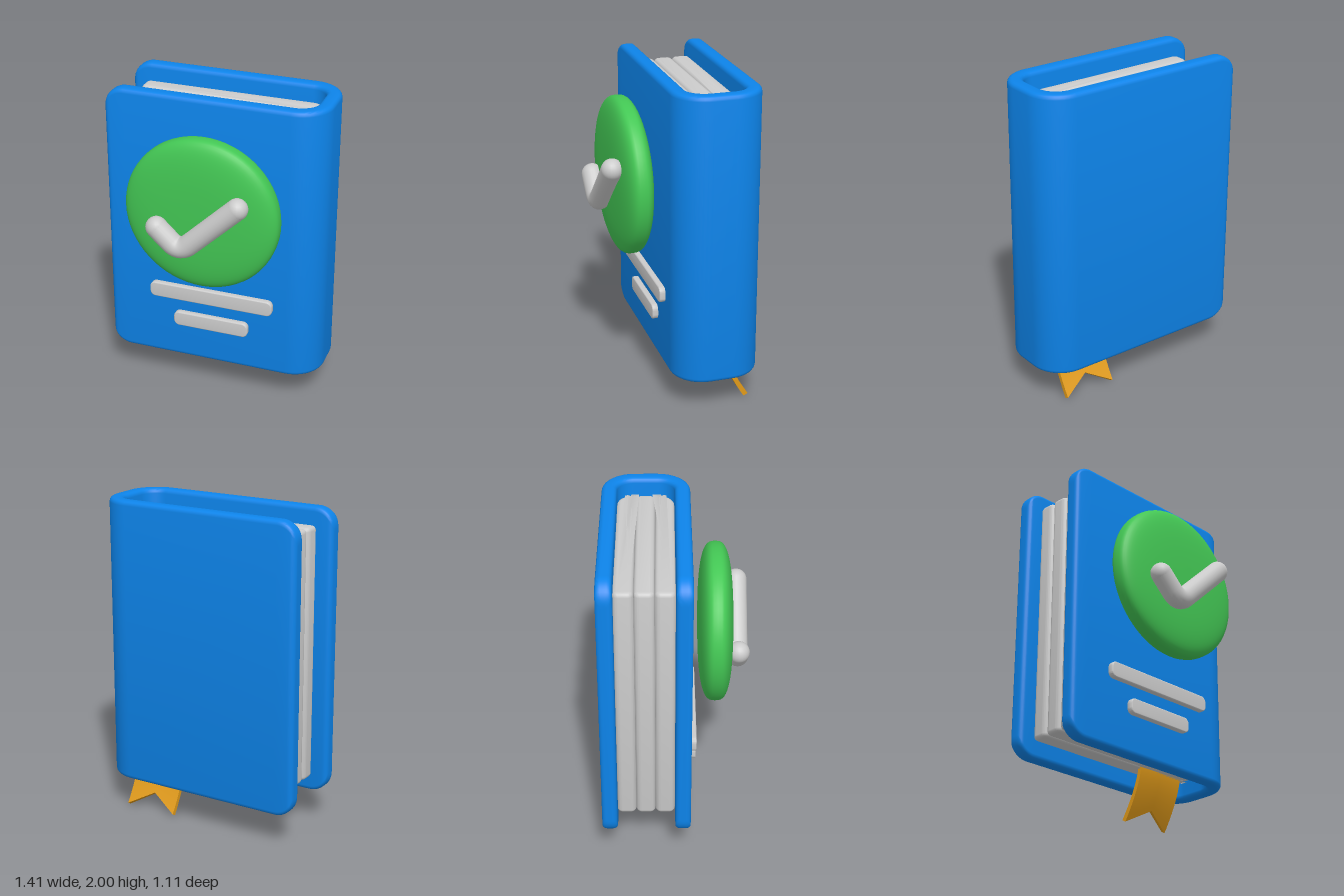
import * as THREE from 'three';
import { toCreasedNormals } from 'three/addons/utils/BufferGeometryUtils.js';

const material = (color) => new THREE.MeshStandardMaterial({ color });

// Rectangle with its own radius at each corner: [lower left, lower right, upper right, upper left]
function roundedRect(x0, y0, x1, y1, [a, b, c, d]) {
  const s = new THREE.Shape();
  s.moveTo(x0 + a, y0).lineTo(x1 - b, y0);
  s.absarc(x1 - b, y0 + b, b, -Math.PI / 2, 0);
  s.absarc(x1 - c, y1 - c, c, 0, Math.PI / 2);
  s.absarc(x0 + d, y1 - d, d, Math.PI / 2, Math.PI);
  s.absarc(x0 + a, y0 + a, a, Math.PI, Math.PI * 1.5);
  return s;
}

// Extrusion from z = 0 to z = depth with softened edges that stay inside the outline
function slab(shape, depth, bevel) {
  const g = new THREE.ExtrudeGeometry(shape, {
    depth: depth - 2 * bevel, bevelSize: bevel, bevelThickness: bevel,
    bevelOffset: -bevel, bevelSegments: 4, curveSegments: 8,
  });
  return toCreasedNormals(g.translate(0, 0, bevel), 0.7);
}

// Cover: a rounded upright section swept along a U, with rounded outer corners at both free ends
function coverGeometry() {
  const left = -0.695, front = 0.106, back = -0.341, spine = 0.626, bend = 0.153;
  const midY = 1.105, halfH = 0.895, thick = 0.094, corner = 0.12, edge = 0.028;
  const stations = [];
  const add = (x, z, angle, h = halfH, t = thick) => stations.push({ x, z, angle, h, t });

  const ends = [];
  for (let i = 0; i <= 12; i++) {
    const a = (i / 12) * Math.PI / 2;
    const s = corner * (1 - Math.cos(a));
    const k = Math.max(edge - s, 0);
    ends.push([left + s, halfH - corner + corner * Math.sin(a), thick - 2 * (edge - Math.sqrt(edge * edge - k * k))]);
  }
  ends.forEach(([x, h, t]) => add(x, front, Math.PI / 2, h, t));
  for (const [cz, from] of [[front - bend, Math.PI / 2], [back + bend, 0]]) {
    for (let i = 0; i <= 12; i++) {
      const a = from - (i / 12) * Math.PI / 2;
      add(spine - bend + bend * Math.cos(a), cz + bend * Math.sin(a), a);
    }
  }
  ends.reverse().forEach(([x, h, t]) => add(x, back, -Math.PI / 2, h, t));

  const pos = [], index = [], n = 20;
  for (const { x, z, angle, h, t } of stations) {
    const r = Math.min(edge, t / 2 - 0.001);
    for (let q = 0; q < 4; q++) {
      const sn = q === 0 || q === 3 ? 1 : -1, sy = q < 2 ? 1 : -1;
      for (let i = 0; i < 5; i++) {
        const a = (q + i / 4) * Math.PI / 2;
        const out = sn * (t / 2 - r) + r * Math.cos(a);
        pos.push(x + out * Math.cos(angle), midY + sy * (h - r) + r * Math.sin(a), z + out * Math.sin(angle));
      }
    }
  }
  const last = stations.length - 1;
  for (let i = 0; i < last; i++) {
    for (let j = 0; j < n; j++) {
      const a = i * n + j, b = i * n + (j + 1) % n;
      index.push(a, a + n, b + n, a, b + n, b);
    }
  }
  for (let j = 1; j < n - 1; j++) {
    index.push(0, j, j + 1, last * n, last * n + j + 1, last * n + j);
  }
  const g = new THREE.BufferGeometry();
  g.setAttribute('position', new THREE.Float32BufferAttribute(pos, 3));
  g.setIndex(index);
  return toCreasedNormals(g, 0.7);
}

// Ribbon: a thin strip with a notched end, curving backwards as it hangs
function ribbonGeometry() {
  const g = new THREE.BoxGeometry(0.345, 1, 0.026, 2, 10, 1);
  const p = g.attributes.position;
  for (let i = 0; i < p.count; i++) {
    const x = p.getX(i);
    const bottom = Math.abs(x) < 0.01 ? 0.1 : 0.008;
    const y = THREE.MathUtils.lerp(0.36, bottom, 0.5 - p.getY(i));
    const drop = (0.36 - y) / 0.36;
    const lean = 0.15 * Math.pow(drop, 1.6);
    p.setXYZ(i, x + 0.355, y + p.getZ(i) * -0.6 * drop, p.getZ(i) - 0.18 - lean);
  }
  return toCreasedNormals(g, 0.6);
}

export function createModel() {
  const model = new THREE.Group();
  const book = new THREE.Group();
  book.name = 'book';
  book.rotation.y = THREE.MathUtils.degToRad(-15.7);
  model.add(book);

  const blue = material(0x0d84ea), grey = material(0xcccccc);
  const green = material(0x43c754), orange = material(0xe09a1a);
  const add = (name, geometry, mat) => {
    const mesh = new THREE.Mesh(geometry, mat);
    mesh.name = name;
    book.add(mesh);
    return mesh;
  };

  add('cover', coverGeometry(), blue);

  // Page blocks, the outer two rounded to fit inside the spine
  const thick = 0.1175, r = 0.035;
  for (let i = 0; i < 3; i++) {
    const y0 = -0.056 + i * thick;
    const radii = [r, i === 0 ? 0.1 : r, i === 2 ? 0.1 : r, r];
    const g = slab(roundedRect(-0.6, y0, 0.576, y0 + thick, radii), 1.58, 0.025);
    g.rotateX(-Math.PI / 2).translate(0, 0.315, 0);
    add('pageBlock' + (i + 1), g, grey);
  }

  // Title bars on the front cover
  for (const [name, half, y0, y1] of [['longBar', 0.402, 0.64, 0.74], ['shortBar', 0.245, 0.455, 0.552]]) {
    const g = slab(roundedRect(-half, y0, half, y1, [r, r, r, r]), 0.04, 0.008);
    add(name, g.translate(-0.012, 0, 0.15), grey);
  }

  // Badge: a thick lens with a blunt rim
  const profile = [];
  for (let i = 0; i <= 32; i++) {
    const a = -Math.PI / 2 + (i / 32) * Math.PI;
    const c = Math.max(Math.cos(a), 0), s = Math.sin(a);
    profile.push(new THREE.Vector2(0.484 * Math.pow(c, 2 / 3), 0.105 * Math.sign(s) * Math.pow(Math.abs(s), 2 / 3)));
  }
  const badge = new THREE.LatheGeometry(profile, 64).rotateX(Math.PI / 2);
  add('badge', badge, green).position.set(-0.014, 1.345, 0.3);

  // Check mark: a bent round bar with domed ends
  const z = 0.436, radius = 0.066;
  const v = (x, y) => new THREE.Vector3(x, y, z);
  const start = v(-0.255, 1.278), end = v(0.249, 1.48);
  const bendIn = v(-0.165, 1.193), bendOut = v(-0.045, 1.2);
  const path = new THREE.CurvePath();
  path.add(new THREE.LineCurve3(start, bendIn));
  path.add(new THREE.QuadraticBezierCurve3(bendIn, v(-0.108, 1.14), bendOut));
  path.add(new THREE.LineCurve3(bendOut, end));
  add('checkMark', new THREE.TubeGeometry(path, 48, radius, 20), grey);
  for (const p of [start, end]) {
    add('checkMarkEnd', new THREE.SphereGeometry(radius, 20, 14), grey).position.copy(p);
  }

  add('ribbon', ribbonGeometry(), orange);
  return model;
}
